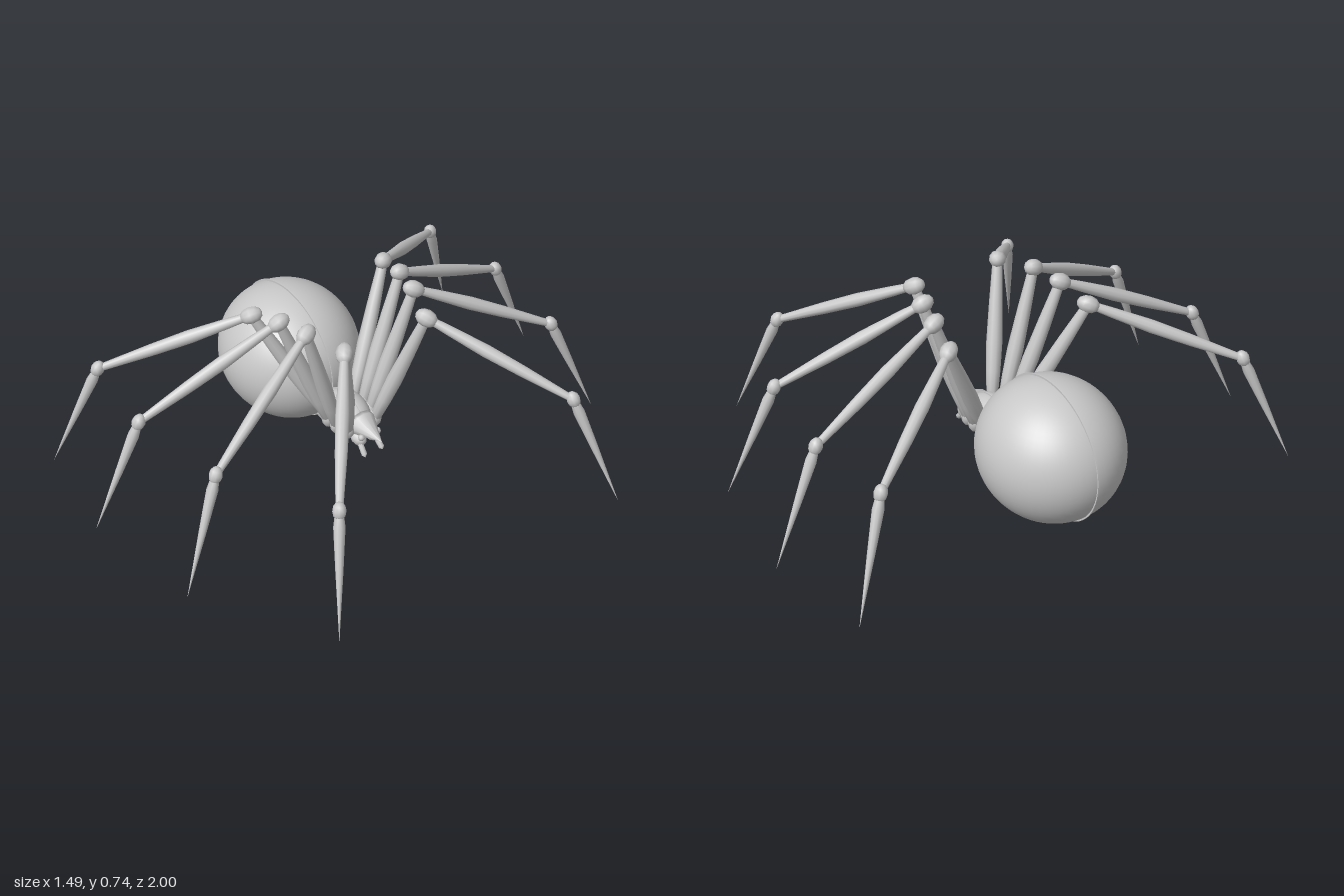
import * as THREE from 'three';

const UP = new THREE.Vector3(0, 1, 0);

export function createModel() {
  const spider = new THREE.Group();
  spider.name = 'spider';
  const grey = new THREE.MeshStandardMaterial({ color: 0xc8c8c8 });
  grey.name = 'lightGrey';

  function add(parent, name, geometry) {
    const mesh = new THREE.Mesh(geometry, grey);
    mesh.name = name;
    parent.add(mesh);
    return mesh;
  }

  function ellipsoid(parent, name, [x, y, z], [rx, ry, rz], w = 12, h = 8) {
    const mesh = add(parent, name, new THREE.SphereGeometry(1, w, h));
    mesh.position.set(x, y, z);
    mesh.scale.set(rx, ry, rz);
    return mesh;
  }

  // Round segment from a to b; profile rows are [radius, fraction of length]
  function segment(parent, name, a, b, profile, sides = 10) {
    const dir = b.clone().sub(a);
    const len = dir.length();
    const points = profile.map(([r, t]) => new THREE.Vector2(r, t * len));
    const mesh = add(parent, name, new THREE.LatheGeometry(points, sides));
    mesh.position.copy(a);
    mesh.quaternion.setFromUnitVectors(UP, dir.normalize());
    return mesh;
  }

  // Ellipsoid stretched along a direction
  function joint(parent, name, p, dir, radius, half) {
    const mesh = ellipsoid(parent, name, p.toArray(), [radius, half, radius], 10, 6);
    mesh.quaternion.setFromUnitVectors(UP, dir.clone().normalize());
  }

  // Thin raised seam along the middle of a body part
  function seam(name, [x, y], rx, ry) {
    const mesh = add(spider, name, new THREE.CylinderGeometry(1, 1, 0.005, 64));
    mesh.rotation.x = Math.PI / 2;
    mesh.position.set(x, y, 0);
    mesh.scale.set(rx, 1, ry);
  }

  // Body
  ellipsoid(spider, 'abdomen', [-0.458, 0.273, 0], [0.286, 0.264, 0.264], 48, 32);
  seam('abdomenSeam', [-0.458, 0.273], 0.291, 0.271);
  ellipsoid(spider, 'thorax', [-0.085, 0.2, 0], [0.117, 0.081, 0.078], 24, 16);
  seam('thoraxSeam', [-0.085, 0.2], 0.119, 0.085);

  // Pointed head
  const head = segment(spider, 'head', new THREE.Vector3(0.0, 0.208, 0), new THREE.Vector3(0.138, 0.196, 0),
    [[0, 0], [0.048, 0.02], [0.048, 0.14], [0, 1]], 12);
  head.scale.z = 1.15;

  // Legs, front to back: root, knee, ankle, tip
  const legs = [
    [[0.01, 0.202, 0.062], [0.155, 0.69, 0.18], [0.588, 0.441, 0.515], [0.744, 0.014, 0.63]],
    [[-0.04, 0.202, 0.078], [0.005, 0.708, 0.237], [0.187, 0.441, 0.747], [0.25, 0.014, 0.927]],
    [[-0.09, 0.202, 0.08], [-0.12, 0.7, 0.268], [-0.217, 0.441, 0.807], [-0.247, 0.014, 1]],
    [[-0.135, 0.202, 0.068], [-0.257, 0.664, 0.295], [-0.572, 0.441, 0.763], [-0.682, 0.014, 0.924]],
  ];
  const femur = [[0, 0], [0.021, 0.02], [0.027, 0.2], [0.03, 0.4], [0.025, 0.7], [0.018, 1]];
  const tibia = [[0.014, 0], [0.019, 0.15], [0.025, 0.4], [0.022, 0.65], [0.013, 1]];
  const tarsus = [[0.014, 0], [0.021, 0.12], [0.014, 0.45], [0, 1]];

  for (const side of [1, -1]) {
    const label = side > 0 ? 'near' : 'far';
    legs.forEach((joints, i) => {
      const leg = new THREE.Group();
      leg.name = `${label}Leg${i + 1}`;
      spider.add(leg);
      const [root, knee, ankle, tip] = joints.map(([x, y, z]) => new THREE.Vector3(x, y, z * side));
      joint(leg, 'hip', root, UP, 0.025, 0.038);
      segment(leg, 'femur', root, knee, femur);
      joint(leg, 'knee', knee, ankle.clone().sub(knee), 0.032, 0.043);
      segment(leg, 'tibia', knee, ankle, tibia);
      joint(leg, 'ankle', ankle, tip.clone().sub(ankle), 0.025, 0.033);
      segment(leg, 'tarsus', ankle, tip, tarsus);
    });

    // Jaws, fangs and eyes
    const v = (x, y, z) => new THREE.Vector3(x, y, z * side);
    joint(spider, `${label}Jaw`, v(0.03, 0.162, 0.028), v(1, -0.3, 0), 0.028, 0.036);
    segment(spider, `${label}Fang`, v(0.04, 0.162, 0.034), v(0.09, 0.112, 0.04),
      [[0, 0], [0.011, 0.05], [0.011, 0.85], [0, 1]], 8);
    ellipsoid(spider, `${label}Eye`, [0.06, 0.184, 0.037 * side], [0.013, 0.013, 0.013], 8, 6);
  }
  return spider;
}
